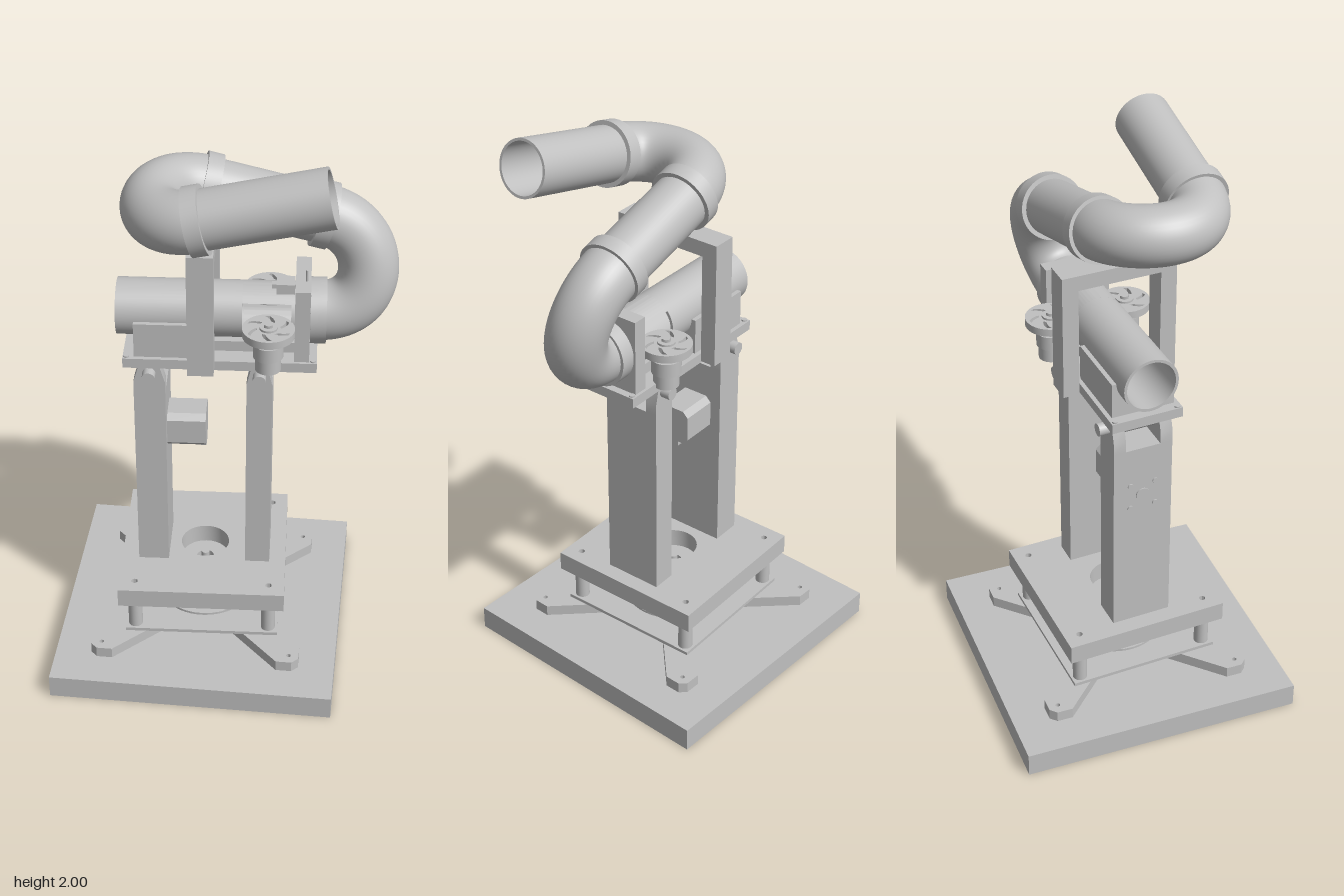
import * as THREE from 'three';
import { toCreasedNormals } from 'three/addons/utils/BufferGeometryUtils.js';

const grey = new THREE.MeshStandardMaterial({ color: 0xc0c0c0, side: THREE.DoubleSide });
grey.name = 'plain grey';
const V = (x, y, z) => new THREE.Vector3(x, y, z);

function add(parent, name, geo, x = 0, y = 0, z = 0) {
  const m = new THREE.Mesh(geo, grey);
  m.name = name;
  m.position.set(x, y, z);
  parent.add(m);
  return m;
}

// Box given by its minimum and maximum corners
function box(parent, name, x0, x1, y0, y1, z0, z1) {
  return add(parent, name, new THREE.BoxGeometry(x1 - x0, y1 - y0, z1 - z0),
    (x0 + x1) / 2, (y0 + y1) / 2, (z0 + z1) / 2);
}

function cyl(parent, name, r, y0, y1, x = 0, z = 0, n = 32) {
  return add(parent, name, new THREE.CylinderGeometry(r, r, y1 - y0, n), x, (y0 + y1) / 2, z);
}

function polygon(points) {
  return new THREE.Shape(points.map(p => new THREE.Vector2(p[0], p[1])));
}

function rect(hw, hd) {
  return polygon([[-hw, -hd], [hw, -hd], [hw, hd], [-hw, hd]]);
}

function hole(shape, x, y, r) {
  shape.holes.push(new THREE.Path().absarc(x, y, r, 0, Math.PI * 2, true));
}

function cornerHoles(shape, d, r) {
  for (const x of [-d, d]) for (const y of [-d, d]) hole(shape, x, y, r);
}

function extrude(shape, depth) {
  return toCreasedNormals(new THREE.ExtrudeGeometry(shape, { depth, bevelEnabled: false, curveSegments: 24 }), 0.6);
}

// Flat horizontal plate
function slab(parent, name, shape, y0, y1, x = 0, z = 0) {
  return add(parent, name, extrude(shape, y1 - y0).rotateX(-Math.PI / 2), x, y0, z);
}

// Hollow straight pipe from a to b, optionally only an arc of its wall
function pipe(parent, name, a, b, ro, ri, phi = 0, arc = Math.PI * 2) {
  const d = b.clone().sub(a), h = d.length();
  const ring = [[ro, 0], [ro, h], [ri, h], [ri, 0], [ro, 0]].map(p => new THREE.Vector2(...p));
  const m = add(parent, name, toCreasedNormals(new THREE.LatheGeometry(ring, 48, phi, arc), 0.6), a.x, a.y, a.z);
  m.quaternion.setFromUnitVectors(V(0, 1, 0), d.normalize());
  return m;
}

// Smooth U-bend between two points with given tangents
function bend(parent, name, a, ta, b, tb, reach) {
  const curve = new THREE.CubicBezierCurve3(a, a.clone().addScaledVector(ta.normalize(), reach),
    b.clone().addScaledVector(tb.normalize(), -reach), b);
  add(parent, name, new THREE.TubeGeometry(curve, 48, 0.099, 40));
}

function collar(parent, name, c, dir) {
  const d = dir.clone().normalize().multiplyScalar(0.026);
  pipe(parent, name, c.clone().sub(d), c.clone().add(d), 0.11, 0.085);
}

// Drive wheel with curved slots on its motor
function driveWheel(parent, x, z) {
  const g = new THREE.Group();
  g.name = 'driveWheel';
  g.position.set(x, 0, z);
  parent.add(g);
  const disc = new THREE.Shape().absarc(0, 0, 0.086, 0, Math.PI * 2, false);
  for (let i = 0; i < 6; i++) {
    const a = i * Math.PI / 3, slot = [];
    for (let k = 0; k <= 5; k++) slot.push([0.04 + k * 0.007, a + k * 0.1]);
    for (let k = 5; k >= 0; k--) slot.push([0.04 + k * 0.007, a + 0.3 + k * 0.08]);
    disc.holes.push(new THREE.Path(slot.map(([r, t]) => new THREE.Vector2(r * Math.cos(t), r * Math.sin(t)))));
  }
  slab(g, 'wheelDisc', disc, 1.318, 1.345);
  cyl(g, 'wheelHub', 0.03, 1.29, 1.352);
  cyl(g, 'wheelNut', 0.016, 1.352, 1.362, 0, 0, 6);
  cyl(g, 'motorCap', 0.05, 1.24, 1.29);
  cyl(g, 'motorBody', 0.043, 1.19, 1.24);
}

// Upright with a forked top, a hinge pin and the lug that hangs into the fork
function column(parent, x, w, lugTop) {
  const g = new THREE.Group();
  g.name = 'column';
  g.position.x = x;
  parent.add(g);
  box(g, 'columnBody', -w, w, 0.34, 1.06, -0.105, 0.105);
  const fork = polygon([[-w, 1.06], [w, 1.06], [w, 1.1], [w * 0.65, 1.165], [-w * 0.65, 1.165], [-w, 1.1]]);
  for (const z of [-0.105, 0.062]) add(g, 'fork', extrude(fork, 0.043), 0, 0, z);
  const lug = polygon([[-lugTop, 1.175], [-0.025, 1.12], [-0.012, 1.11], [0.012, 1.11], [0.025, 1.12], [lugTop, 1.175]]);
  add(g, 'hangingLug', extrude(lug, 0.11), 0, 0, -0.055);
  add(g, 'hingePin', new THREE.CylinderGeometry(0.022, 0.022, 0.28, 24).rotateX(Math.PI / 2), 0, 1.137, 0);
}

export function createModel() {
  const model = new THREE.Group();
  model.name = 'pipeMachine';
  const cx = -0.073;

  // Base board and four-armed foot
  const board = rect(0.493, 0.493);
  cornerHoles(board, 0.335, 0.008);
  slab(model, 'baseBoard', board, 0, 0.085, cx);
  const quarter = [[0.19, 0.115], [0.367, 0.29], [0.367, 0.345], [0.345, 0.367], [0.29, 0.367], [0.115, 0.19]];
  const outline = [];
  for (let i = 0; i < 4; i++) {
    const c = Math.round(Math.cos(i * Math.PI / 2)), s = Math.round(Math.sin(i * Math.PI / 2));
    for (const [x, y] of quarter) outline.push([c * x - s * y, s * x + c * y]);
  }
  const foot = polygon(outline);
  cornerHoles(foot, 0.332, 0.008);
  slab(model, 'crossFoot', foot, 0.085, 0.125, cx);

  // Turntable: everything here is turned a little
  const t = new THREE.Group();
  t.name = 'turntable';
  t.position.x = cx;
  t.rotation.y = 0.06;
  model.add(t);
  const ring = new THREE.Shape().absarc(0, 0, 0.245, 0, Math.PI * 2, false);
  hole(ring, 0, 0, 0.17);
  slab(t, 'bearingRing', ring, 0.125, 0.14);
  const lower = rect(0.268, 0.268);
  hole(lower, 0, 0, 0.2);
  slab(t, 'lowerFrame', lower, 0.143, 0.155);
  cyl(t, 'bearingDisc', 0.17, 0.125, 0.148);
  for (const x of [-1, 1]) for (const z of [-1, 1]) {
    cyl(t, 'cornerSpacer', 0.025, 0.15, 0.278, x * 0.235, z * 0.235, 24);
    cyl(t, 'innerSpacer', 0.024, 0.145, 0.26, x * 0.1, z * 0.1, 24);
  }
  cyl(t, 'turnMotor', 0.068, 0.148, 0.25);
  cyl(t, 'turnShaft', 0.015, 0.25, 0.3);
  const mount = new THREE.Shape().absarc(0, 0, 0.175, 0, Math.PI * 2, false);
  hole(mount, 0, 0, 0.03);
  slab(t, 'mountDisc', mount, 0.256, 0.277);
  const deck = rect(0.29, 0.289);
  hole(deck, 0, 0, 0.085);
  cornerHoles(deck, 0.235, 0.011);
  slab(t, 'deck', deck, 0.275, 0.345);

  // Uprights and the tilt motor
  column(t, -0.177, 0.053, 0.05);
  column(t, 0.19, 0.043, 0.085);
  const body = polygon([[-0.065, -0.045], [-0.045, -0.065], [0.045, -0.065], [0.065, -0.045],
    [0.065, 0.045], [0.045, 0.065], [-0.045, 0.065], [-0.065, 0.045]]);
  add(t, 'tiltMotor', extrude(body, 0.135).rotateY(Math.PI / 2), -0.127, 0.872, 0);
  box(t, 'motorPlug', -0.012, 0.008, 0.79, 0.815, -0.025, 0.025);
  add(t, 'motorBoss', new THREE.CylinderGeometry(0.025, 0.025, 0.006, 24).rotateZ(Math.PI / 2), -0.232, 0.872, 0);
  for (const y of [-0.045, 0.045]) for (const z of [-0.045, 0.045])
    add(t, 'motorScrew', new THREE.CylinderGeometry(0.01, 0.01, 0.006, 12).rotateZ(Math.PI / 2), -0.232, 0.872 + y, z);

  // Cradle for the straight pipe
  box(t, 'cradlePlate', -0.262, 0.378, 1.17, 1.205, -0.125, 0.125);
  box(t, 'cradleBlock', -0.225, 0.03, 1.205, 1.33, -0.11, 0.11).geometry = extrude(cradleProfile(), 0.255)
    .rotateY(Math.PI / 2).translate(-0.1275, -1.2675, 0);
  box(t, 'cradleRail', 0.03, 0.31, 1.205, 1.243, -0.06, 0.06);
  for (const [x, z] of [[-0.25, -0.11], [-0.25, 0.11], [0.365, -0.11], [0.365, 0.11]])
    cyl(t, 'cradleScrew', 0.01, 1.205, 1.21, x, z, 12);
  const end = polygon([[-0.115, 1.2], [0.115, 1.2], [0.115, 1.47], [-0.115, 1.47]]);
  hole(end, 0, 1.335, 0.094);
  add(t, 'endPlate', extrude(end, 0.05).rotateY(Math.PI / 2), 0.302, 0, 0);
  box(t, 'sensorBlock', 0.24, 0.3, 1.435, 1.47, 0.01, 0.07);
  box(t, 'sensorArm', 0.225, 0.305, 1.445, 1.46, 0.03, 0.05);
  cyl(t, 'sensorPin', 0.004, 1.46, 1.51, 0.338, 0.04, 8);

  // Portal frame
  for (const s of [-1, 1]) box(t, 'portalLeg', -0.043, 0.043, 1.195, 1.6, s * 0.172 - 0.028, s * 0.172 + 0.028);
  box(t, 'portalBeam', -0.043, 0.043, 1.585, 1.638, -0.2, 0.2);

  // Straight pipe with a window on each side for the wheels
  const at = x => V(x, 1.335, 0);
  pipe(t, 'launchPipe', at(-0.285), at(0.13), 0.095, 0.085);
  pipe(t, 'pipeTopStrip', at(0.13), at(0.29), 0.095, 0.085, 3.87, 1.68);
  pipe(t, 'pipeBottomStrip', at(0.13), at(0.29), 0.095, 0.085, 0.38, 2.38);
  pipe(t, 'pipeOutlet', at(0.29), at(0.385), 0.095, 0.085);
  for (const s of [-1, 1]) driveWheel(t, 0.218, s * 0.135);

  // Winding pipe above
  const a = V(0.305, 1.337, -0.022), b = V(0.31, 1.66, -0.085), c = V(-0.06, 1.757, -0.052);
  const d = V(-0.06, 1.81, 0.272), e = V(0.352, 1.905, 0.257);
  const start = V(1, 0, -0.06), middle = c.clone().sub(b), last = e.clone().sub(d);
  bend(model, 'rightBend', a, start.clone(), b, middle.clone(), 0.208);
  pipe(model, 'middlePipe', b, c, 0.095, 0.085);
  bend(model, 'leftBend', c, middle.clone(), d, last.clone(), 0.216);
  pipe(model, 'outletPipe', d, e, 0.095, 0.086);
  for (const [p, dir] of [[a, start], [b, middle], [c, middle], [d, last]]) collar(model, 'collar', p, dir);
  return model;
}

// Block section with a round trough for the pipe
function cradleProfile() {
  const s = new THREE.Shape();
  s.moveTo(-0.11, 1.33);
  s.lineTo(-0.11, 1.205);
  s.lineTo(0.11, 1.205);
  s.lineTo(0.11, 1.33);
  s.lineTo(0.094, 1.33);
  s.absarc(0, 1.335, 0.094, -0.05, -Math.PI + 0.05, true);
  return s;
}
